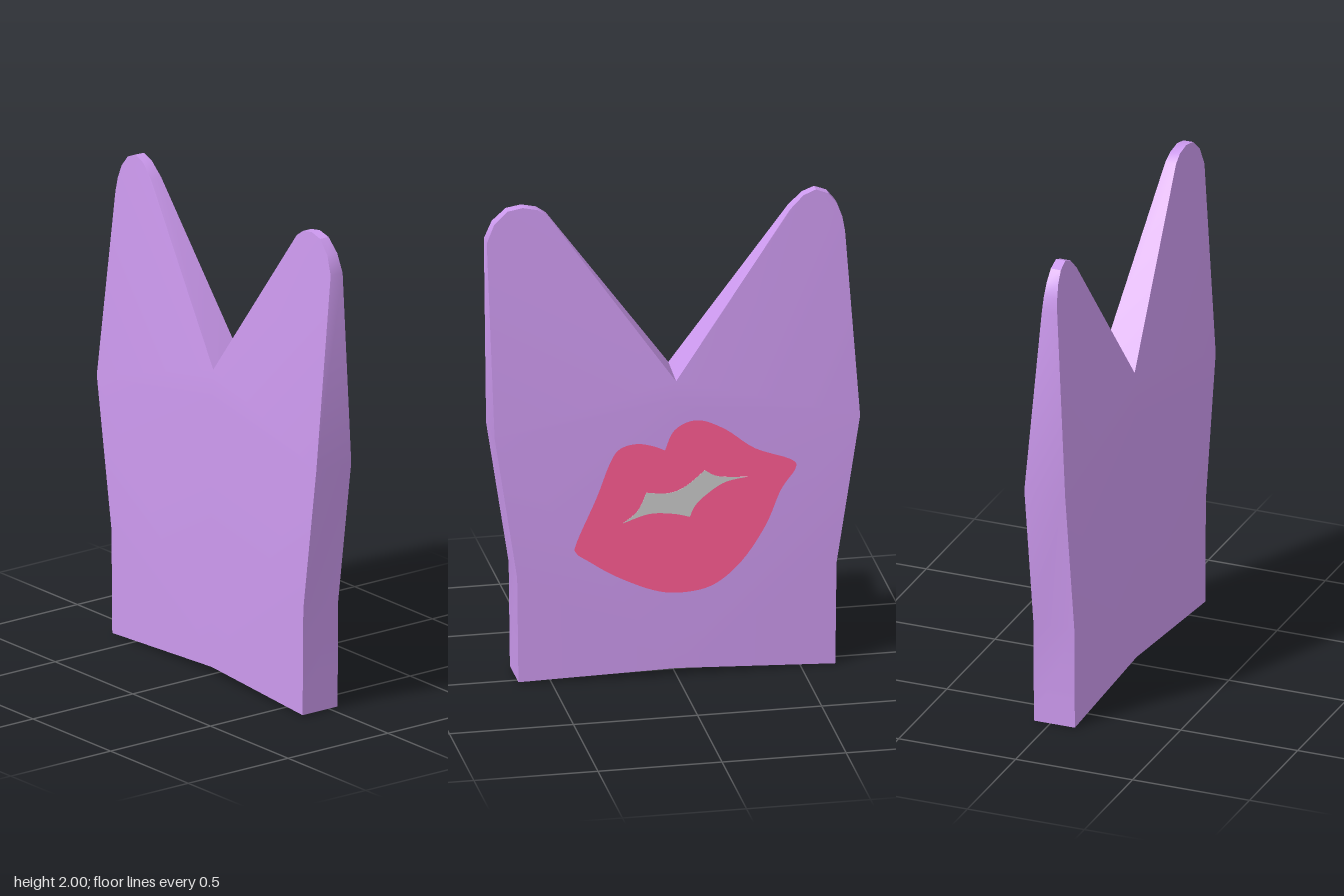
import * as THREE from 'three';
import { toCreasedNormals } from 'three/addons/utils/BufferGeometryUtils.js';

// Profiles are drawn on the broad +x side: u runs towards the back (-z), v is up.
const vec = ([u, v]) => new THREE.Vector2(u, v);

const backHalf = [[0, 0.03], [0.64, 0], [0.645, 0.43], [0.74, 1.05]];
const backTip = [[0.69, 1.82], [0.68, 1.88], [0.66, 1.935], [0.625, 1.98], [0.575, 2], [0.525, 1.98], [0.47, 1.925]];
const notch = [0, 1.25];
const frontTip = [[-0.5, 1.96], [-0.54, 1.988], [-0.6, 2], [-0.66, 1.988], [-0.715, 1.935], [-0.745, 1.86]];
const frontHalf = [[-0.725, 1.05], [-0.635, 0.45], [-0.63, 0.005]];
const middle = [0, 1.15];

// Slab point on the near (+1) or far (-1) face: bent at the middle, thinning towards the tips
function slabPoint([u, v], side) {
  const centre = -0.0175 + (u < 0 ? 0.055 * u : 0);
  const crease = 1.15 - 0.137 * Math.abs(u);
  const t = THREE.MathUtils.clamp((v - crease) / (2 - crease), 0, 1);
  const half = THREE.MathUtils.lerp(0.0875, 0.02, t);
  const lift = u === 0 && v === notch[1] && side < 0 ? 0.02 : 0;
  return [centre + side * half, v + lift, -u];
}

function slabGeometry() {
  const positions = [];
  const add = (...points) => points.forEach((p) => positions.push(...p));

  // Broad faces, split along the bend and the start of the taper
  const regions = [
    [...backHalf, middle],
    [backHalf[3], ...backTip, notch, middle],
    [notch, ...frontTip, frontHalf[0], middle],
    [...frontHalf, backHalf[0], middle],
  ];
  for (const region of regions) {
    for (const [a, b, c] of THREE.ShapeUtils.triangulateShape(region.map(vec), [])) {
      add(...[a, b, c].map((i) => slabPoint(region[i], 1)));
      add(...[a, c, b].map((i) => slabPoint(region[i], -1)));
    }
  }

  // Rim joining the two faces
  const outline = [...backHalf, ...backTip, notch, ...frontTip, ...frontHalf];
  outline.forEach((p, i) => {
    const q = outline[(i + 1) % outline.length];
    const [np, fp, nq, fq] = [slabPoint(p, 1), slabPoint(p, -1), slabPoint(q, 1), slabPoint(q, -1)];
    add(np, fp, fq, np, fq, nq);
  });

  const geometry = new THREE.BufferGeometry();
  geometry.setAttribute('position', new THREE.Float32BufferAttribute(positions, 3));
  return toCreasedNormals(geometry, 0.5);
}

// Closed outline made of smooth runs that meet at sharp corners
function smoothRuns(runs) {
  const points = [];
  for (const run of runs) {
    points.push(...new THREE.SplineCurve(run.map(vec)).getPoints(run.length * 5).slice(0, -1));
  }
  return points;
}

const lipOutline = smoothRuns([[
  [-0.05, 0.97], [-0.1, 0.992], [-0.167, 1.005], [-0.235, 0.985], [-0.275, 0.92], [-0.325, 0.785],
  [-0.405, 0.6], [-0.405, 0.555], [-0.36, 0.52], [-0.245, 0.445], [-0.09, 0.375], [0.03, 0.36],
  [0.15, 0.387], [0.26, 0.48], [0.355, 0.625], [0.415, 0.77], [0.475, 0.86], [0.45, 0.9],
  [0.31, 0.955], [0.19, 1.045], [0.08, 1.09], [-0.01, 1.055], [-0.05, 0.97],
]]);

const mouthOutline = smoothRuns([
  [[-0.22, 0.67], [-0.16, 0.72], [-0.125, 0.795]],
  [[-0.125, 0.795], [-0.04, 0.787], [0.03, 0.81], [0.11, 0.875]],
  [[0.11, 0.875], [0.165, 0.845], [0.28, 0.835]],
  [[0.28, 0.835], [0.19, 0.818], [0.115, 0.77], [0.07, 0.725], [0.05, 0.68]],
  [[0.05, 0.68], [-0.02, 0.698], [-0.115, 0.703], [-0.22, 0.67]],
]);

function addMesh(parent, name, geometry, color) {
  const material = new THREE.MeshStandardMaterial({ color, side: THREE.DoubleSide });
  const mesh = new THREE.Mesh(geometry, material);
  mesh.name = name;
  parent.add(mesh);
  return mesh;
}

export function createModel() {
  const model = new THREE.Group();
  model.name = 'forkedPanel';
  addMesh(model, 'panel', slabGeometry(), 0xcc99ee);

  // Lip emblem turned to face +x, following the slight lean of the panel
  const emblem = new THREE.Group();
  emblem.name = 'lipEmblem';
  emblem.position.x = 0.09;
  emblem.rotation.y = Math.PI / 2 - 0.022;
  model.add(emblem);

  const lips = new THREE.Shape(lipOutline);
  lips.holes.push(new THREE.Path(mouthOutline));
  addMesh(emblem, 'lips', new THREE.ShapeGeometry(lips), 0xff5c94);

  const mouth = new THREE.ExtrudeGeometry(new THREE.Shape(mouthOutline), { depth: 0.026, bevelEnabled: false });
  addMesh(emblem, 'mouthOpening', mouth, 0xcccccc).position.z = -0.025;

  return model;
}
